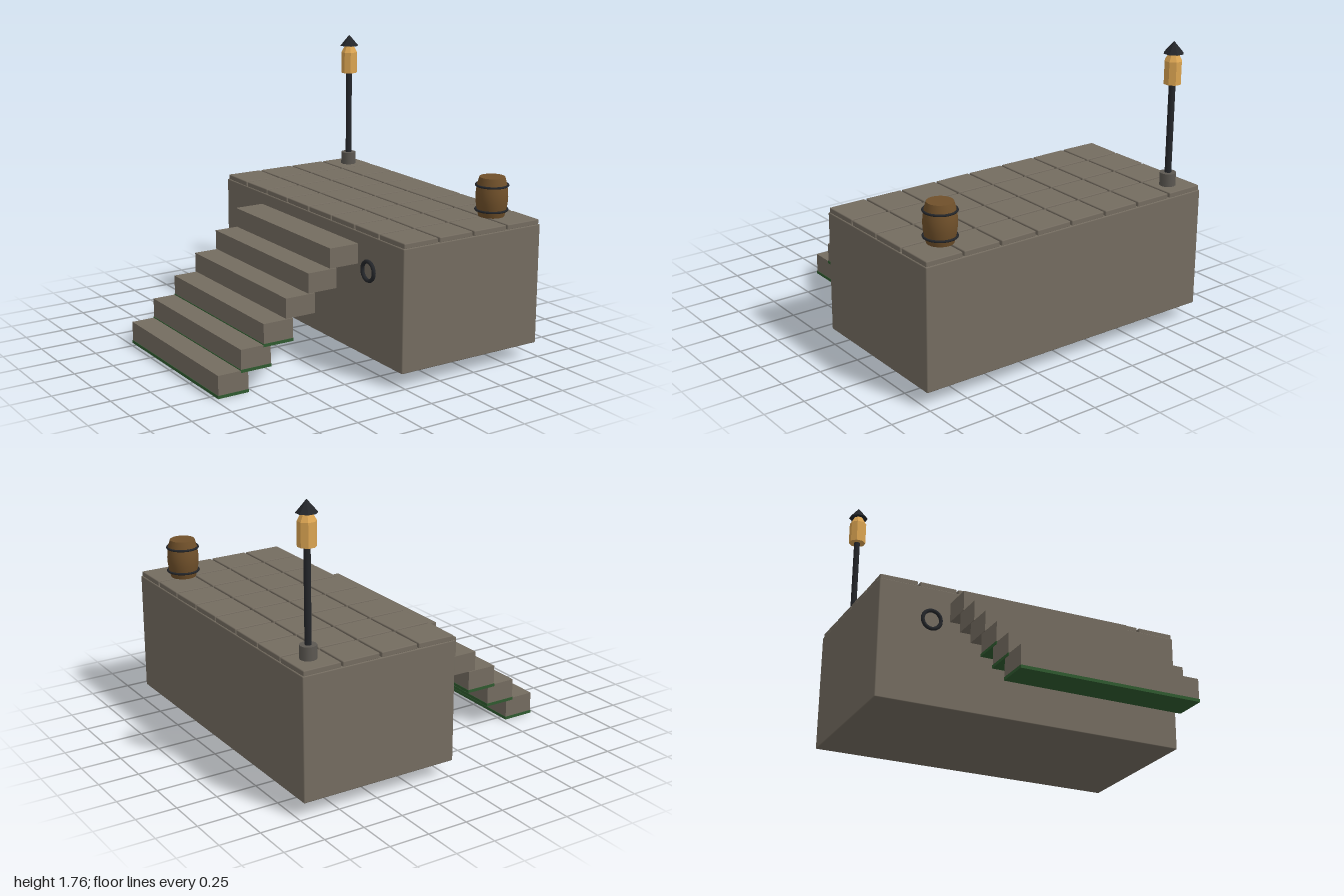
import * as THREE from 'three';
import { RoundedBoxGeometry } from 'three/addons/geometries/RoundedBoxGeometry.js';

const material = (name, color) => {
  const m = new THREE.MeshStandardMaterial({ color });
  m.name = name;
  return m;
};

export function createModel() {
  const stone = material('stone', 0x746c60);
  const footStone = material('lamp foot stone', 0x5c5852);
  const moss = material('moss', 0x2f5a2f);
  const wood = material('barrel wood', 0x70502a);
  const iron = material('black iron', 0x24262a);
  const glow = material('lantern glass', 0xdca552);

  const root = new THREE.Group();
  root.name = 'stoneDock';

  const add = (name, geometry, mat, x, y, z, parent = root) => {
    const mesh = new THREE.Mesh(geometry, mat);
    mesh.name = name;
    mesh.position.set(x, y, z);
    parent.add(mesh);
    return mesh;
  };
  const flat = (geometry) => {
    const g = geometry.toNonIndexed();
    g.computeVertexNormals();
    return g;
  };
  let seed = 7;
  const jitter = () => {
    seed = (seed * 16807) % 2147483647;
    return seed / 2147483647 - 0.5;
  };

  // Main block
  add('dockBlock', new RoundedBoxGeometry(1, 0.745, 2, 1, 0.006), stone, 0.475, 0.4675, 0);

  // Paving slabs, each laid slightly askew
  const paving = new THREE.Group();
  paving.name = 'paving';
  root.add(paving);
  const slab = new RoundedBoxGeometry(0.238, 0.034, 0.238, 1, 0.006);
  for (let i = 0; i < 4; i++) {
    for (let j = 0; j < 8; j++) {
      const s = add('pavingSlab', slab, stone, 0.1 + i * 0.25, 0.853, -0.875 + j * 0.25, paving);
      s.rotation.y = jitter() * 0.03;
    }
  }

  // Stairs, the lowest three with mossy undersides
  const stairs = new THREE.Group();
  stairs.name = 'stairs';
  root.add(stairs);
  for (let i = 0; i < 6; i++) {
    const x = -0.875 + i * 0.1505;
    const y = 0.077 + i * 0.1255;
    add('step', new THREE.BoxGeometry(0.196, 0.122, 1.096), stone, x, y, 0, stairs);
    if (i < 3) add('stepMoss', new THREE.BoxGeometry(0.202, 0.018, 1.102), moss, x, y - 0.068, 0, stairs);
  }

  // Mooring rings on the stair side
  for (const z of [-0.67, 0.67]) {
    const ring = add('mooringRing', new THREE.TorusGeometry(0.058, 0.012, 8, 24), iron, -0.038, 0.63, z);
    ring.rotation.y = Math.PI / 2;
  }

  // Barrel with two hoops
  const barrel = new THREE.Group();
  barrel.name = 'barrel';
  barrel.position.set(0.785, 0.87, 0.775);
  root.add(barrel);
  const profile = [[0.078, 0], [0.089, 0.04], [0.096, 0.085], [0.098, 0.12], [0.096, 0.155], [0.089, 0.2], [0.077, 0.24]];
  add('barrelStaves', new THREE.LatheGeometry(profile.map(([r, y]) => new THREE.Vector2(r, y)), 24), wood, 0, 0, 0, barrel);
  const lid = add('barrelLid', new THREE.CircleGeometry(0.077, 24), wood, 0, 0.24, 0, barrel);
  lid.rotation.x = -Math.PI / 2;
  for (const y of [0.04, 0.19]) {
    const hoop = add('barrelHoop', new THREE.TorusGeometry(0.096, 0.007, 6, 24), iron, 0, y, 0, barrel);
    hoop.rotation.x = Math.PI / 2;
  }

  // Lamp post
  const lamp = new THREE.Group();
  lamp.name = 'lampPost';
  lamp.position.set(0.85, 0, -0.85);
  root.add(lamp);
  add('lampFoot', new THREE.CylinderGeometry(0.05, 0.05, 0.08, 12), footStone, 0, 0.91, 0, lamp);
  add('lampPole', new THREE.CylinderGeometry(0.02, 0.02, 0.58, 8), iron, 0, 1.22, 0, lamp);
  add('lanternBody', flat(new THREE.CylinderGeometry(0.054, 0.054, 0.14, 8)), glow, 0, 1.573, 0, lamp)
    .rotation.y = Math.PI / 8;
  add('lanternShoulder', flat(new THREE.CylinderGeometry(0.026, 0.054, 0.05, 8)), glow, 0, 1.668, 0, lamp)
    .rotation.y = Math.PI / 8;
  add('lanternCap', flat(new THREE.ConeGeometry(0.062, 0.073, 8)), iron, 0, 1.7235, 0, lamp)
    .rotation.y = Math.PI / 8;

  return root;
}
